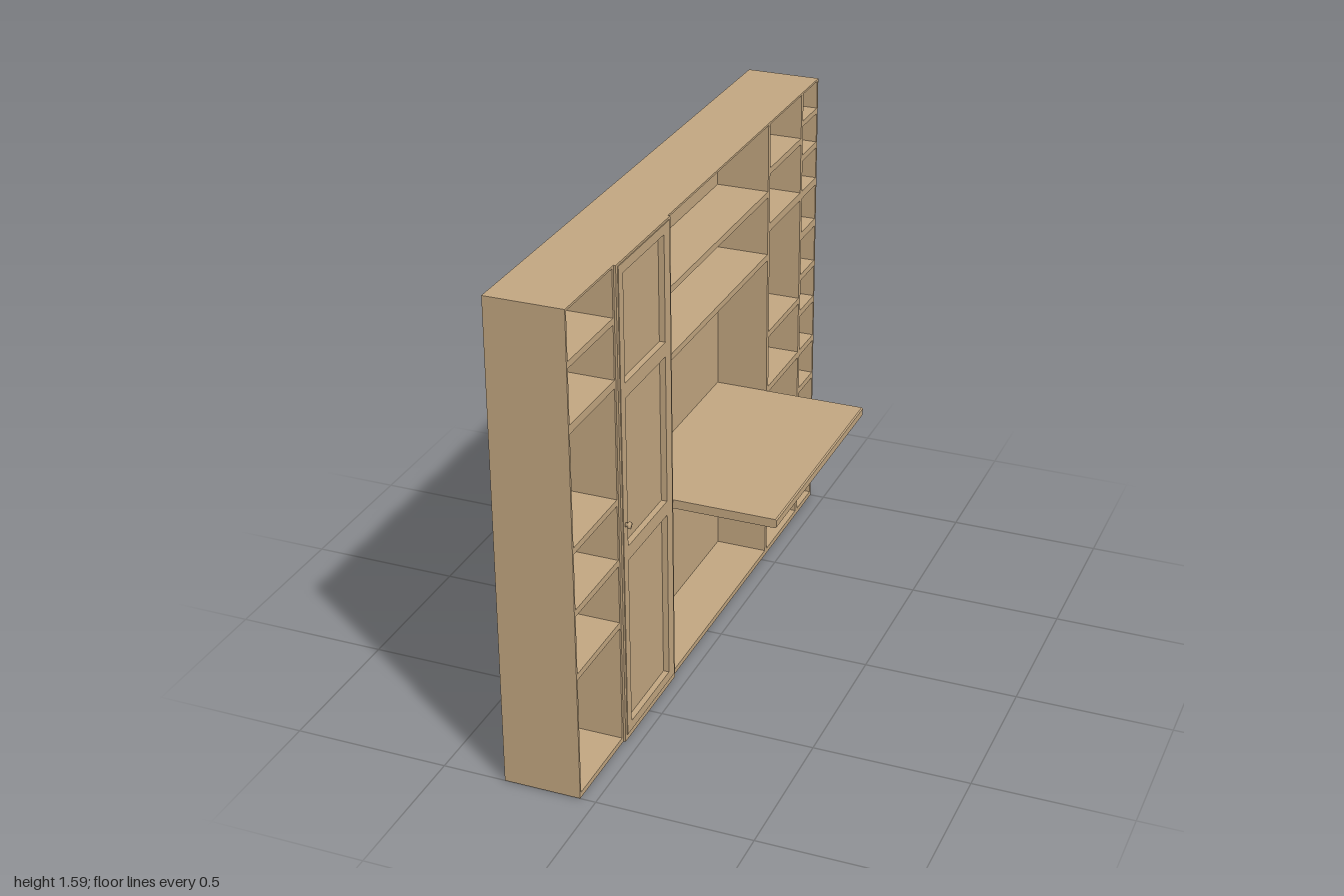
import * as THREE from 'three';

const H = 1.585, BACK = -0.297, INNER = -0.225, FRONT = -0.05;

export function createModel() {
  const wood = new THREE.MeshStandardMaterial({ color: 0xc4a882 });
  wood.name = 'tan wood';
  const group = new THREE.Group();

  const add = (name, geometry) => {
    const mesh = new THREE.Mesh(geometry, wood);
    mesh.name = name;
    group.add(mesh);
    return mesh;
  };

  // Box given by its limits on each axis
  const box = (name, x0, x1, y0, y1, z0, z1) =>
    add(name, new THREE.BoxGeometry(x1 - x0, y1 - y0, z1 - z0))
      .position.set((x0 + x1) / 2, (y0 + y1) / 2, (z0 + z1) / 2);

  const trace = (path, z0, z1, y0, y1) => {
    path.moveTo(-z1, y0);
    path.lineTo(-z0, y0);
    path.lineTo(-z0, y1);
    path.lineTo(-z1, y1);
    path.closePath();
    return path;
  };

  // Upright board with rectangular openings [z0, z1, y0, y1], thick along x
  const board = (name, x0, x1, outline, openings) => {
    const shape = trace(new THREE.Shape(), ...outline);
    for (const o of openings) shape.holes.push(trace(new THREE.Path(), ...o));
    const geometry = new THREE.ExtrudeGeometry(shape, { depth: x1 - x0, bevelEnabled: false });
    geometry.rotateY(Math.PI / 2);
    geometry.translate(x0, 0, 0);
    return add(name, geometry);
  };

  // Compartments of each bay, as bottom and top heights
  const wide = [[0.018, 0.41], [0.431, 0.624], [0.646, 0.828], [0.849, 1.208], [1.235, 1.407], [1.428, 1.578]];
  const narrow = [[0.018, 0.163], [0.185, 0.335], [0.361, 0.479], [0.5, 0.624], [0.646, 0.774], [0.796, 0.908],
    [0.93, 1.058], [1.085, 1.208], [1.235, 1.342], [1.364, 1.465], [1.484, 1.578]];
  const centre = [[0.018, 1.112], [1.133, 1.332], [1.353, 1.578]];
  const bays = [
    [0.692, 0.992, wide],
    [0.3, 0.67, [[0.018, 1.578]]],
    [-0.533, 0.283, centre],
    [-0.839, -0.551, wide],
    [-0.99, -0.856, narrow],
  ];
  const openings = bays.flatMap(([z0, z1, rows]) => rows.map(([y0, y1]) => [z0, z1, y0, y1]));

  // Carcass with shelves, and the solid back
  board('shelving', INNER, FRONT, [-1, 1, 0, H], openings);
  box('back', BACK, INNER, 0, H, -1, 1);

  // Door casing, framed door and its recessed panels
  board('doorCasing', FRONT, -0.043, [0.292, 0.682, 0, H], [[0.3, 0.67, 0.018, 1.578]]);
  const panels = [[0.05, 0.619], [0.667, 1.155], [1.203, 1.546]];
  board('doorFrame', -0.075, -0.041, [0.301, 0.669, 0.019, 1.577],
    panels.map(([y0, y1]) => [0.344, 0.638, y0, y1]));
  box('doorPanel', -0.085, -0.06, 0.03, 1.565, 0.32, 0.655);

  // Door knob
  const knob = new THREE.LatheGeometry([
    [0, 0], [0.007, 0], [0.007, 0.006], [0.011, 0.009], [0.011, 0.016], [0, 0.017],
  ].map(([r, h]) => new THREE.Vector2(r, h)), 16);
  knob.rotateZ(-Math.PI / 2);
  add('doorKnob', knob).position.set(-0.041, 0.748, 0.653);

  // Desk top reaching from the back panel, with slightly eased front edges
  const profile = new THREE.Shape();
  [[INNER, 0.608], [0.288, 0.608], [0.292, 0.612], [0.292, 0.634], [0.288, 0.638], [INNER, 0.638]]
    .forEach(([x, y], i) => (i ? profile.lineTo(x, y) : profile.moveTo(x, y)));
  add('deskTop', new THREE.ExtrudeGeometry(profile, { depth: 0.812, bevelEnabled: false }))
    .position.z = -0.532;

  return group;
}
